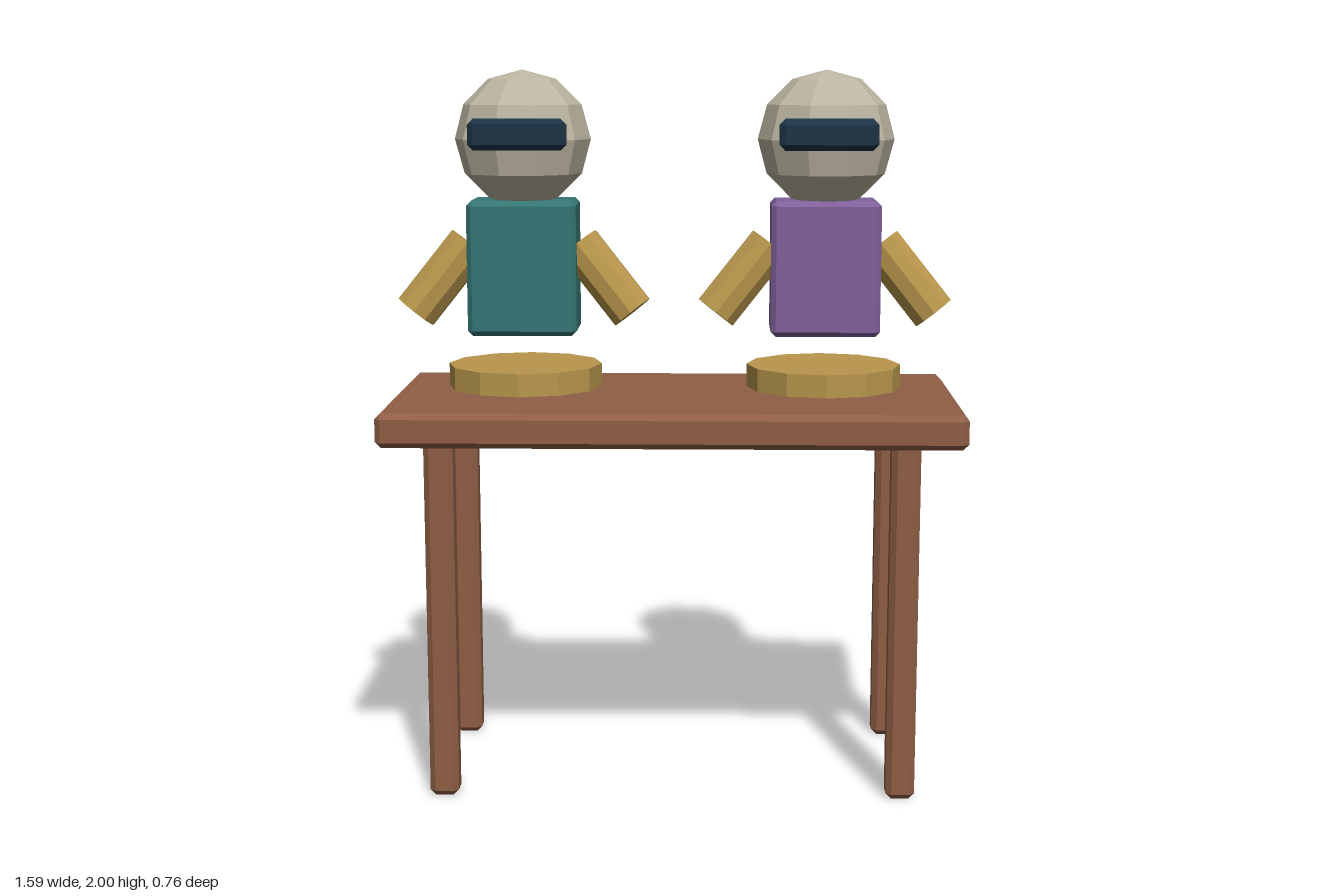
import * as THREE from 'three';
import { ConvexGeometry } from 'three/addons/geometries/ConvexGeometry.js';

const material = (name, color) => {
  const m = new THREE.MeshStandardMaterial({ color, flatShading: true });
  m.name = name;
  return m;
};

// Box with a single flat chamfer on every edge
function chamferBox(w, h, d, c) {
  const points = [];
  for (const x of [-1, 1]) for (const y of [-1, 1]) for (const z of [-1, 1]) {
    for (let axis = 0; axis < 3; axis++) {
      const inset = [c, c, c];
      inset[axis] = 0;
      points.push(new THREE.Vector3(
        x * (w / 2 - inset[0]), y * (h / 2 - inset[1]), z * (d / 2 - inset[2])));
    }
  }
  return new ConvexGeometry(points);
}

function add(parent, name, geometry, mat, x, y, z) {
  const mesh = new THREE.Mesh(geometry, mat);
  mesh.name = name;
  mesh.position.set(x, y, z);
  parent.add(mesh);
  return mesh;
}

export function createModel() {
  const wood = material('brown wood', 0x8f5f45);
  const tan = material('ochre', 0xb8964c);
  const shell = material('warm grey', 0xbcb5a1);
  const glass = material('dark navy', 0x1c3446);
  const teal = material('teal', 0x357674);
  const purple = material('purple', 0x7f6099);

  const model = new THREE.Group();
  model.name = 'tableWithTwoFigures';

  // Table
  const table = new THREE.Group();
  table.name = 'table';
  model.add(table);
  add(table, 'tableTop', chamferBox(1.59, 0.095, 0.76, 0.016), wood, 0, 1.0475, 0);
  const legGeometry = chamferBox(0.08, 1.01, 0.08, 0.016);
  for (const x of [-0.635, 0.635]) for (const z of [-0.275, 0.275]) {
    add(table, 'tableLeg', legGeometry, wood, x, 0.505, z);
  }

  // Shared figure geometry
  const base = new THREE.CylinderGeometry(0.217, 0.217, 0.064, 12);
  const torso = chamferBox(0.304, 0.376, 0.2, 0.014);
  const head = new THREE.SphereGeometry(0.19, 10, 6);
  const visor = chamferBox(0.268, 0.086, 0.05, 0.016);

  const figure = (name, x, shirt) => {
    const g = new THREE.Group();
    g.name = name;
    g.position.x = x;
    model.add(g);
    add(g, 'base', base, tan, 0, 1.147, 0);
    add(g, 'torso', torso, shirt, 0, 1.455, 0);
    add(g, 'head', head, shell, 0, 1.81, 0);
    add(g, 'visor', visor, glass, 0, 1.827, 0.167);

    // Arms slope outward, down and slightly forward
    for (const side of [-1, 1]) {
      const shoulder = new THREE.Vector3(side * 0.154, 1.518, 0);
      const hand = new THREE.Vector3(side * 0.305, 1.328, 0.026);
      const axis = shoulder.clone().sub(hand);
      const arm = add(g, side < 0 ? 'rightArm' : 'leftArm',
        new THREE.CylinderGeometry(0.063, 0.063, axis.length(), 10), tan, 0, 0, 0);
      arm.position.copy(shoulder).add(hand).multiplyScalar(0.5);
      arm.quaternion.setFromUnitVectors(new THREE.Vector3(0, 1, 0), axis.normalize());
    }
  };

  figure('tealFigure', -0.422, teal);
  figure('purpleFigure', 0.422, purple);
  return model;
}
